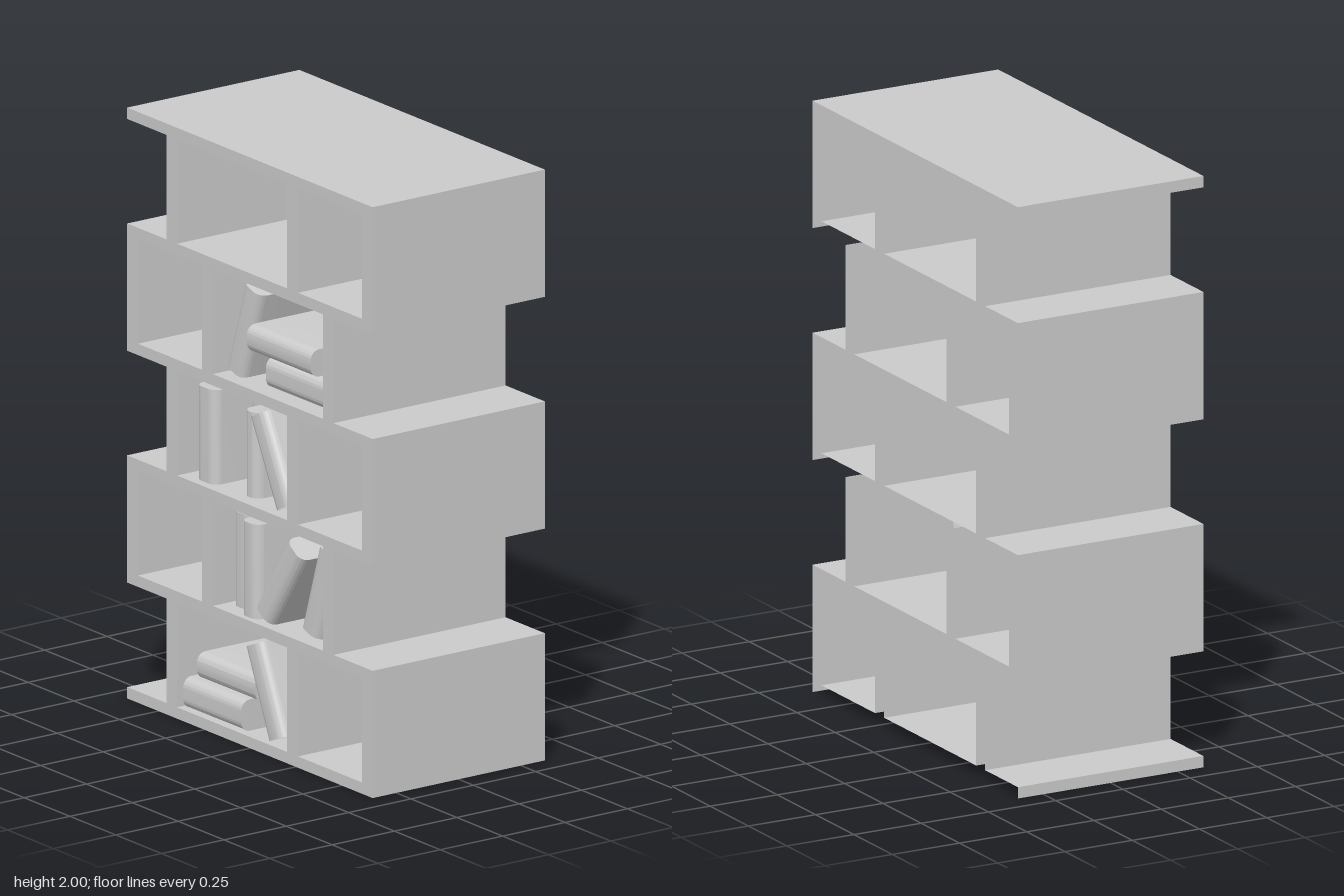
import * as THREE from 'three';
import { toCreasedNormals } from 'three/addons/utils/BufferGeometryUtils.js';

const HALF = 0.67;          // half width
const DEPTH = 0.69;
const BOARD = 0.0385;       // shelf thickness
const ROWS = 5;
const STEP = (2 - BOARD) / ROWS;
const POSTS = [[-0.456, -0.398], [0.203, 0.262], [0.612, HALF]]; // uprights, mirrored in odd rows

const material = new THREE.MeshStandardMaterial({ color: 0xcccccc, side: THREE.DoubleSide });

// Drops the faces that point to the rear or down, leaving an open shell.
function openShell(geometry) {
  const n = geometry.attributes.normal;
  const keep = [];
  for (let i = 0; i < n.count; i += 3) {
    if (n.getZ(i) > -0.9 && n.getY(i) > -0.8) keep.push(i, i + 1, i + 2);
  }
  geometry.clearGroups();
  geometry.setIndex(keep);
  return geometry;
}

// Staggered frame: a stepped outline with two openings in each row
function frameGeometry() {
  const right = [], left = [], holes = [];
  for (let row = 0; row < ROWS; row++) {
    const lo = row * STEP + BOARD, hi = (row + 1) * STEP;
    const odd = row % 2 === 1;
    const posts = odd ? POSTS.map(([a, b]) => [-b, -a]).reverse() : POSTS;

    // the row is set in on one side only
    const [side, x] = odd ? [right, posts[2][1]] : [left, posts[0][0]];
    const edge = odd ? HALF : -HALF;
    side.push([edge, lo], [x, lo], [x, hi], [edge, hi]);

    for (let i = 0; i < 2; i++) {
      const x0 = posts[i][1], x1 = posts[i + 1][0];
      holes.push([[x0, lo], [x0, hi], [x1, hi], [x1, lo]]);
    }
  }
  const toPoints = (list) => list.map(([x, y]) => new THREE.Vector2(x, y));
  const outline = [[-HALF, 0], [HALF, 0], ...right, [HALF, 2], [-HALF, 2], ...left.reverse()];
  const shape = new THREE.Shape(toPoints(outline));
  shape.holes = holes.map((h) => new THREE.Path(toPoints(h)));
  const g = new THREE.ExtrudeGeometry(shape, { depth: DEPTH, bevelEnabled: false });
  return openShell(g.translate(0, 0, -DEPTH / 2));
}

// Book centred on x and y, tilted about z; its rounded spine touches z = 0
function bookGeometry(w, h, tilt, d = 0.3, r = 0.034) {
  const s = new THREE.Shape();
  s.moveTo(-w / 2, d);
  s.lineTo(-w / 2, r);
  s.absarc(-w / 2 + r, r, r, Math.PI, Math.PI * 1.5, false);
  s.lineTo(w / 2 - r, 0);
  s.absarc(w / 2 - r, r, r, Math.PI * 1.5, Math.PI * 2, false);
  s.lineTo(w / 2, d);
  s.closePath();
  const g = new THREE.ExtrudeGeometry(s, { depth: h, bevelEnabled: false, curveSegments: 8 });
  g.translate(0, 0, -h / 2).rotateX(-Math.PI / 2).rotateZ(tilt);
  return openShell(toCreasedNormals(g, 0.6));
}

export function createModel() {
  const model = new THREE.Group();
  model.name = 'bookcase';

  const frame = new THREE.Mesh(frameGeometry(), material);
  frame.name = 'shelfFrame';

  // Books: [x, y, thickness, length, tilt, front z]
  const FLAT = Math.PI / 2;
  const list = [
    // bottom row
    [-0.21, 0.093, 0.106, 0.317, FLAT, 0.342],
    [-0.165, 0.192, 0.09, 0.317, FLAT, 0.32],
    [0.064, 0.205, 0.098, 0.316, 0.408, 0.342],
    // second row
    [-0.132, 0.591, 0.1, 0.32, 0, 0.285],
    [-0.036, 0.591, 0.092, 0.32, 0, 0.325],
    [0.145, 0.596, 0.099, 0.316, -0.59, 0.342],
    [0.302, 0.596, 0.1, 0.314, -0.306, 0.3],
    // third row
    [-0.288, 0.983, 0.105, 0.32, 0, 0.315],
    [-0.171, 0.983, 0.127, 0.32, 0, 0.18],
    [-0.07, 0.968, 0.074, 0.29, 0, 0.295],
    [0.08, 0.988, 0.099, 0.315, 0.467, 0.33],
    // fourth row
    [-0.106, 1.378, 0.097, 0.32, -0.31, 0.3],
    [0.184, 1.268, 0.104, 0.316, FLAT, 0.3],
    [0.137, 1.374, 0.092, 0.348, FLAT, 0.33],
  ];
  const books = new THREE.Group();
  books.name = 'books';
  for (const [x, y, w, h, tilt, z] of list) {
    const book = new THREE.Mesh(bookGeometry(w, h, tilt), material);
    book.name = 'book';
    book.position.set(x, y, z);
    books.add(book);
  }

  model.add(frame, books);
  return model;
}
